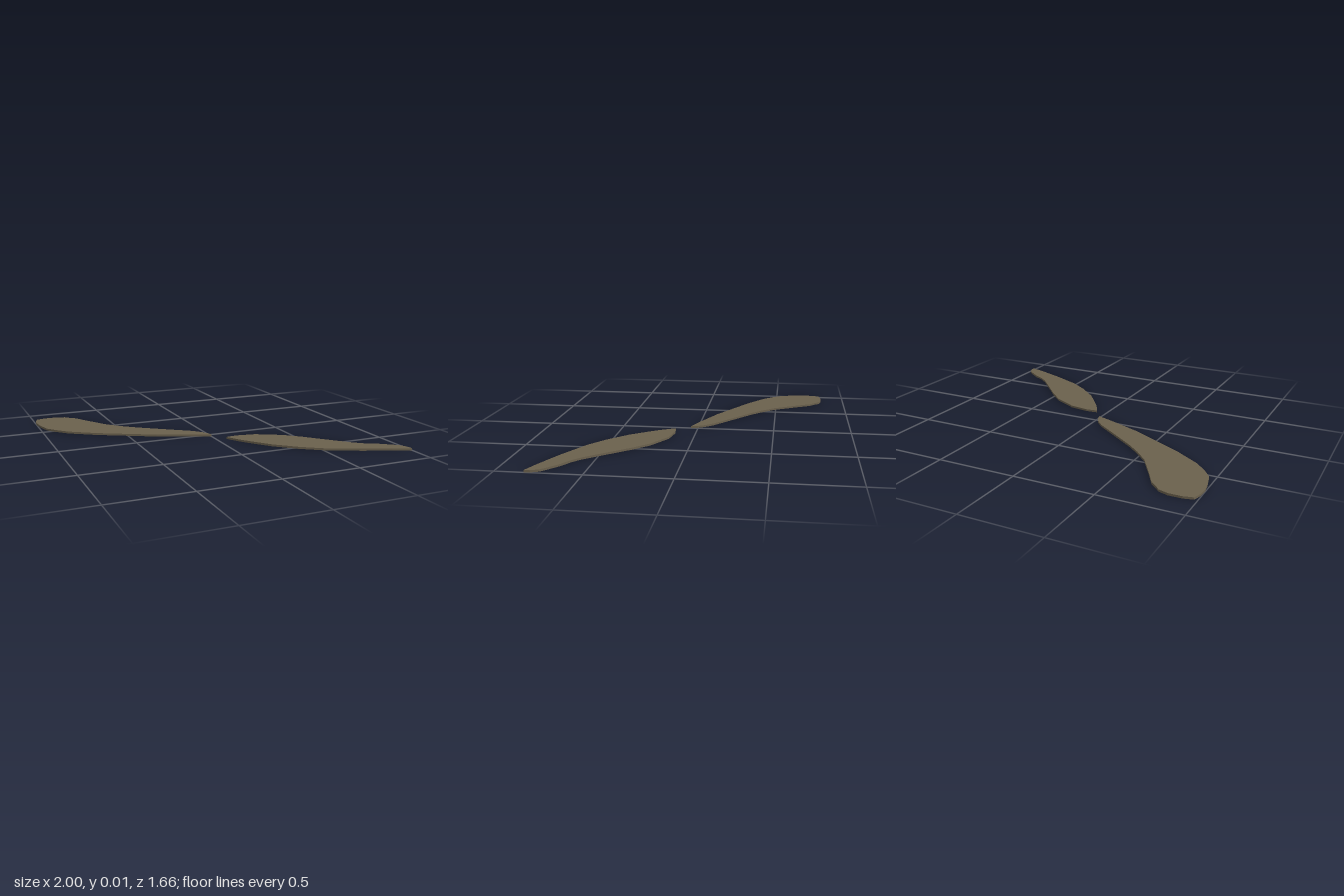
import * as THREE from 'three';

const THICKNESS = 0.013;

// Outlines seen from above, as [x, z] pairs
const LONG_BLADE = [
  [-0.98, -0.82], [-0.92, -0.835], [-0.84, -0.835], [-0.78, -0.815], [-0.76, -0.79], [-0.715, -0.75],
  [-0.655, -0.645], [-0.56, -0.49], [-0.475, -0.4], [-0.39, -0.325], [-0.225, -0.2],
  [-0.085, -0.095], [-0.035, -0.04], [-0.012, 0], [0, 0.045], [-0.13, -0.005],
  [-0.335, -0.095], [-0.505, -0.19], [-0.685, -0.29], [-0.85, -0.405], [-0.92, -0.48],
  [-0.965, -0.54], [-0.99, -0.64], [-1, -0.71], [-0.997, -0.765],
];
const SHORT_BLADE = [
  [0.065, 0.138], [0.14, 0.13], [0.265, 0.15], [0.355, 0.2], [0.425, 0.24], [0.52, 0.33],
  [0.555, 0.37], [0.69, 0.52], [0.74, 0.575], [0.795, 0.62], [0.875, 0.665], [0.945, 0.72],
  [0.978, 0.75], [0.997, 0.795], [1, 0.83], [0.885, 0.79], [0.705, 0.715], [0.5, 0.615],
  [0.38, 0.53], [0.25, 0.41], [0.18, 0.32], [0.115, 0.23], [0.075, 0.16],
];

// Flat plate standing on y = 0, cut to an outline
function plate(name, outline, material) {
  const shape = new THREE.Shape(outline.map(([x, z]) => new THREE.Vector2(x, -z)));
  const geometry = new THREE.ExtrudeGeometry(shape, { depth: THICKNESS, bevelEnabled: false });
  geometry.rotateX(-Math.PI / 2);
  const mesh = new THREE.Mesh(geometry, material);
  mesh.name = name;
  return mesh;
}

export function createModel() {
  const model = new THREE.Group();
  model.name = 'bladePair';
  const brown = new THREE.MeshStandardMaterial({ color: 0x6b614d });
  brown.name = 'olive brown';
  model.add(plate('longBlade', LONG_BLADE, brown), plate('shortBlade', SHORT_BLADE, brown));
  return model;
}
